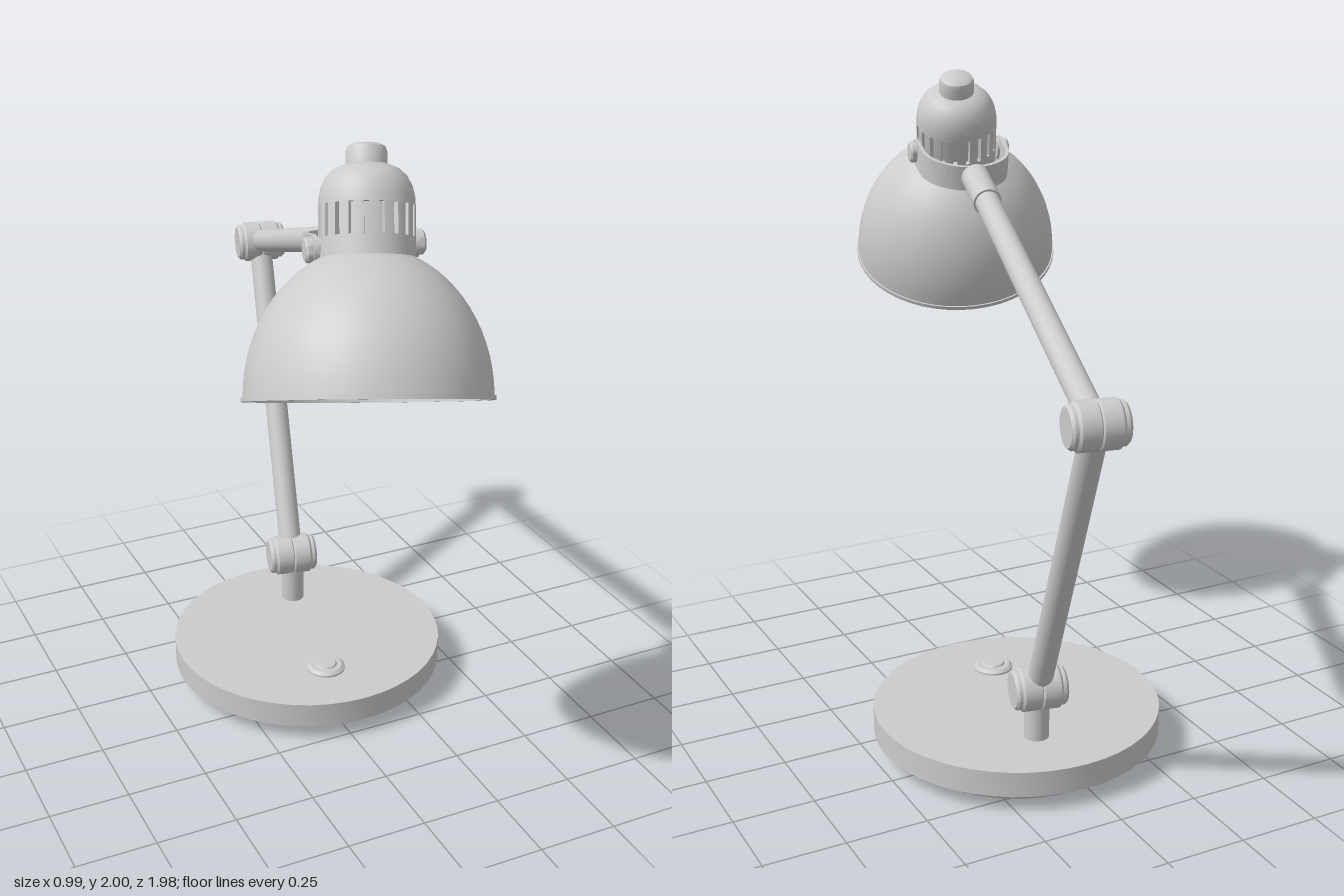
import * as THREE from 'three';
import { toCreasedNormals } from 'three/addons/utils/BufferGeometryUtils.js';

const material = new THREE.MeshStandardMaterial({ color: 0xcccccc, side: THREE.DoubleSide });
const UP = new THREE.Vector3(0, 1, 0);
const YAW = -0.213; // heading of the arm's vertical plane
const V = (x, y, z) => new THREE.Vector3(x, y, z);

function add(parent, name, geometry, position = V(0, 0, 0)) {
  const mesh = new THREE.Mesh(geometry, material);
  mesh.name = name;
  mesh.position.copy(position);
  parent.add(mesh);
  return mesh;
}

function group(parent, name, position) {
  const g = new THREE.Group();
  g.name = name;
  g.position.copy(position);
  parent.add(g);
  return g;
}

// Turned solid from [radius, height] pairs listed bottom to top
const turned = (points, segments = 40) =>
  toCreasedNormals(new THREE.LatheGeometry(points.map(p => new THREE.Vector2(...p)), segments), 0.6);

// Round rod between two points
function rod(parent, name, a, b, radius) {
  const d = b.clone().sub(a);
  const mesh = add(parent, name, new THREE.CylinderGeometry(radius, radius, d.length(), 24),
    a.clone().add(b).multiplyScalar(0.5));
  mesh.quaternion.setFromUnitVectors(UP, d.normalize());
  return mesh;
}

// Two mirrored hub halves with bevelled end caps, seam in the middle
function joint(parent, name, position) {
  const g = group(parent, name, position);
  g.rotation.y = YAW;
  const half = turned([[0, 0], [0.062, 0], [0.067, 0.004], [0.067, 0.055], [0.06, 0.062],
    [0.06, 0.072], [0.053, 0.08], [0, 0.08]], 32);
  for (const side of [-1, 1]) add(g, 'hubHalf', half).rotation.z = -side * Math.PI / 2;
}

// Shade, slotted cap and bulb, built along local y from the rim centre
function buildHead(parent) {
  const head = group(parent, 'lampHead', V(-0.175, 1.38, 0.687));
  head.quaternion.setFromUnitVectors(UP, V(0.171, 0.906, -0.386).normalize());

  const dome = (r, h, i, n) => {
    const a = (i / n) * 1.25;
    return [r * Math.cos(a), 0.012 + h * Math.sin(a)];
  };
  const n = 14, inner = [], outer = [];
  for (let i = 0; i <= n; i++) {
    inner.unshift(dome(0.318, 0.382, i, n));
    outer.push(dome(0.328, 0.392, i, n));
  }
  add(head, 'shade', turned([...inner, [0.318, 0], [0.333, 0], [0.333, 0.012], ...outer], 48));

  add(head, 'capLower', turned([[0.1, 0.35], [0.122, 0.35], [0.128, 0.356], [0.128, 0.425], [0.1, 0.425]]));
  add(head, 'capCore', new THREE.CylinderGeometry(0.112, 0.112, 0.16, 40, 1, true), V(0, 0.47, 0));
  add(head, 'capTop', turned([[0.1, 0.508], [0.128, 0.508], [0.127, 0.53], [0.121, 0.558], [0.108, 0.584],
    [0.088, 0.604], [0.06, 0.616], [0, 0.62]]));
  add(head, 'capKnob', turned([[0.055, 0.61], [0.055, 0.652], [0.05, 0.664], [0.038, 0.671], [0, 0.674]], 32));

  // Ribs left between the cooling slots
  const count = 20, span = Math.PI * 2 / count * 0.66;
  const rib = new THREE.Shape();
  rib.absarc(0, 0, 0.128, -span / 2, span / 2, false);
  rib.absarc(0, 0, 0.108, span / 2, -span / 2, true);
  const ribGeometry = new THREE.ExtrudeGeometry(rib, { depth: 0.083, bevelEnabled: false, curveSegments: 4 });
  ribGeometry.rotateX(-Math.PI / 2);
  for (let i = 0; i < count; i++) {
    add(head, 'capRib', ribGeometry, V(0, 0.425, 0)).rotation.y = i / count * Math.PI * 2;
  }

  add(head, 'socket', new THREE.CylinderGeometry(0.06, 0.06, 0.12, 32), V(0, 0.34, 0));
  add(head, 'bulb', turned([[0, 0.098], [0.045, 0.107], [0.082, 0.131], [0.105, 0.165], [0.112, 0.205],
    [0.104, 0.245], [0.08, 0.28], [0.05, 0.31]], 32));
}

// Horseshoe strap with pivot screws; local z runs forward to the pivot
function buildFork(parent) {
  const fork = group(parent, 'fork', V(-0.105, 1.742, 0.513));
  fork.rotation.set(-0.27, YAW, 0, 'YXZ');
  const r = 0.142, t = 0.012, straight = 0.075;
  const strap = new THREE.Shape();
  strap.moveTo(r, 0);
  strap.lineTo(r, straight);
  strap.absarc(0, straight, r, 0, Math.PI, false);
  strap.lineTo(-r, 0);
  strap.lineTo(-r + t, 0);
  strap.lineTo(-r + t, straight);
  strap.absarc(0, straight, r - t, Math.PI, 0, true);
  strap.lineTo(r - t, 0);
  const geometry = new THREE.ExtrudeGeometry(strap, { depth: 0.08, bevelEnabled: false, curveSegments: 24 });
  geometry.rotateX(-Math.PI / 2);
  add(fork, 'forkStrap', toCreasedNormals(geometry, 0.6), V(0, -0.04, 0));

  const screw = turned([[0, -0.02], [0.034, -0.02], [0.034, 0.014], [0.028, 0.02], [0, 0.022]], 24);
  const tab = new THREE.CylinderGeometry(0.04, 0.04, t, 24);
  for (const side of [-1, 1]) {
    add(fork, 'forkTab', tab, V(side * (r - t / 2), 0, 0)).rotation.z = Math.PI / 2;
    add(fork, 'pivotScrew', screw, V(side * r, 0, 0)).rotation.z = -side * Math.PI / 2;
  }
}

export function createModel() {
  const lamp = new THREE.Group();
  lamp.name = 'deskLamp';

  // Weighted base with recessed foot and switch
  const base = group(lamp, 'base', V(0.045, 0, -0.183));
  add(base, 'foot', turned([[0, 0], [0.36, 0], [0.38, 0.006], [0.394, 0.018], [0.4, 0.034], [0.4, 0.055]], 48));
  add(base, 'basePlate', turned([[0, 0.05], [0.446, 0.05], [0.446, 0.13], [0, 0.13]], 48));
  add(base, 'switchButton', turned([[0.062, 0.128], [0.062, 0.136], [0.052, 0.144], [0.036, 0.144],
    [0.032, 0.15], [0, 0.152]], 32), V(-0.038, 0, 0.233));

  // Post, joints and arms
  const knuckle = V(0.096, 0.295, -0.42), elbow = V(0.2, 1.277, -0.905);
  const armEnd = V(-0.062, 1.692, 0.305);
  rod(lamp, 'post', V(0.096, 0.12, -0.411), V(0.096, 0.29, -0.411), 0.038);
  joint(lamp, 'baseJoint', knuckle);
  rod(lamp, 'lowerArm', knuckle, elbow, 0.038);
  joint(lamp, 'elbowJoint', elbow);
  rod(lamp, 'upperArm', elbow, armEnd, 0.038);
  rod(lamp, 'armSleeve', elbow.clone().lerp(armEnd, 0.875), armEnd, 0.044);

  buildFork(lamp);
  buildHead(lamp);
  return lamp;
}
